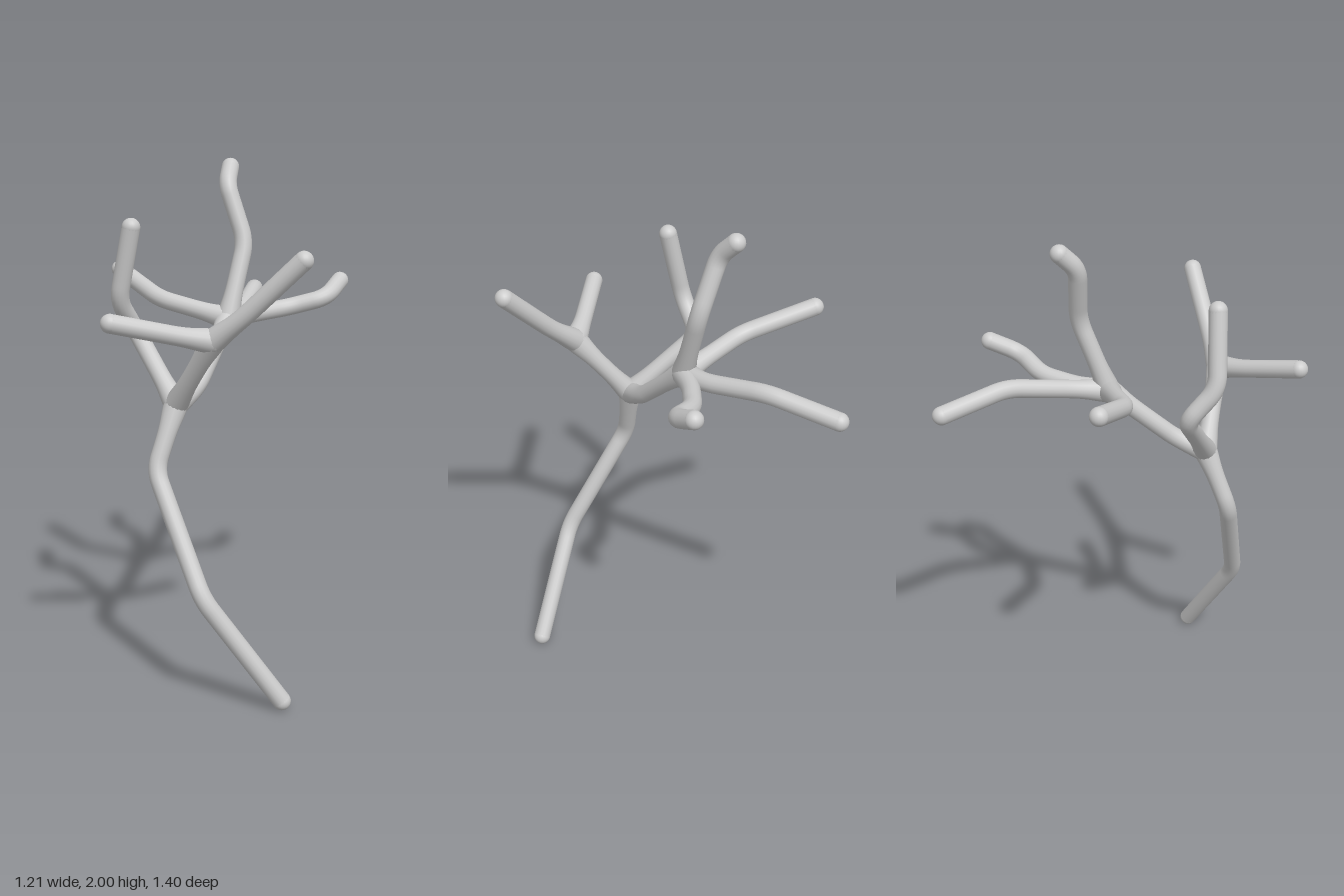
import * as THREE from 'three';
import { mergeGeometries } from 'three/addons/utils/BufferGeometryUtils.js';

const R = 0.035;   // branch radius
const FLARE = 0.011; // extra radius where branches meet

// Forks of the tree
const lowerFork = [0.04, 1.12, 0.315];
const frontFork = [0.25, 1.39, 0.365];
const backFork = [0.0, 1.39, -0.065];

// Each branch: name, points, whether its start and end sit on a fork
const branches = [
  ['trunk', [[0.51, 0.034, 0.28], [0.275, 0.44, 0.46], [0.015, 0.88, 0.41], lowerFork], false, true],
  ['rightBranch', [lowerFork, [-0.225, 1.36, 0.23], [-0.215, 1.49, 0.34], [-0.15, 1.77, 0.337]], true, false],
  ['frontLimb', [lowerFork, frontFork], true, true],
  ['frontOuterBranch', [frontFork, [0.36, 1.48, 0.335], [0.57, 1.693, 0.265]], true, false],
  ['frontInnerBranch', [frontFork, [0.18, 1.41, 0.45], [0.025, 1.472, 0.662]], true, false],
  ['backLimb', [lowerFork, [0.05, 1.165, 0.2], backFork], true, true],
  ['topBranch', [backFork, [0.0, 1.68, -0.178], [-0.085, 1.9, -0.172], [-0.115, 1.966, -0.235]], true, false],
  ['sideBranch', [backFork, [-0.29, 1.45, 0.005], [-0.572, 1.538, -0.08]], true, false],
  ['backRightBranch', [backFork, [-0.025, 1.405, -0.19], [-0.14, 1.455, -0.44], [-0.3, 1.413, -0.665]], true, false],
  ['backLeftBranch', [backFork, [0.03, 1.395, -0.18], [0.105, 1.41, -0.33], [0.23, 1.45, -0.42], [0.218, 1.505, -0.54]], true, false],
];

// Straight runs joined by short rounded bends
function roundedPath(points, cut = 0.055) {
  const p = points.map((a) => new THREE.Vector3(...a));
  const path = new THREE.CurvePath();
  let from = p[0];
  for (let i = 1; i < p.length - 1; i++) {
    const toPrev = p[i - 1].clone().sub(p[i]);
    const toNext = p[i + 1].clone().sub(p[i]);
    const c = Math.min(cut, toPrev.length() * 0.45, toNext.length() * 0.45);
    const a = p[i].clone().addScaledVector(toPrev.normalize(), c);
    const b = p[i].clone().addScaledVector(toNext.normalize(), c);
    path.add(new THREE.LineCurve3(from, a));
    path.add(new THREE.QuadraticBezierCurve3(a, p[i], b));
    from = b;
  }
  path.add(new THREE.LineCurve3(from, p[p.length - 1]));
  return path;
}

function ball(point, radius) {
  return new THREE.SphereGeometry(radius, 20, 14).translate(...point);
}

// Tube that swells towards forks, with round ends
function branchGeometry(points, forkStart, forkEnd) {
  const path = roundedPath(points);
  const length = path.getLength();
  const segments = Math.ceil(length / 0.015);
  const tube = new THREE.TubeGeometry(path, segments, R, 16, false);
  const pos = tube.attributes.position;
  const nor = tube.attributes.normal;
  const swell = (d) => FLARE * Math.exp(-((d / 0.075) ** 2));
  for (let i = 0; i < pos.count; i++) {
    const d = (Math.floor(i / 17) / segments) * length;
    const extra = (forkStart ? swell(d) : 0) + (forkEnd ? swell(length - d) : 0);
    pos.setXYZ(i,
      pos.getX(i) + nor.getX(i) * extra,
      pos.getY(i) + nor.getY(i) * extra,
      pos.getZ(i) + nor.getZ(i) * extra);
  }
  const parts = [tube];
  if (!forkStart) parts.push(ball(points[0], R));
  if (!forkEnd) parts.push(ball(points[points.length - 1], R));
  return mergeGeometries(parts);
}

export function createModel() {
  const tree = new THREE.Group();
  tree.name = 'bareTree';
  const material = new THREE.MeshStandardMaterial({ color: 0xcccccc });
  const add = (name, geometry) => {
    const mesh = new THREE.Mesh(geometry, material);
    mesh.name = name;
    tree.add(mesh);
  };

  for (const [name, points, forkStart, forkEnd] of branches) {
    add(name, branchGeometry(points, forkStart, forkEnd));
  }

  // Rounded knots that fill the forks
  add('lowerKnot', ball(lowerFork, R + FLARE));
  add('frontKnot', ball(frontFork, R + FLARE));
  add('backKnot', ball(backFork, R + FLARE));
  return tree;
}
